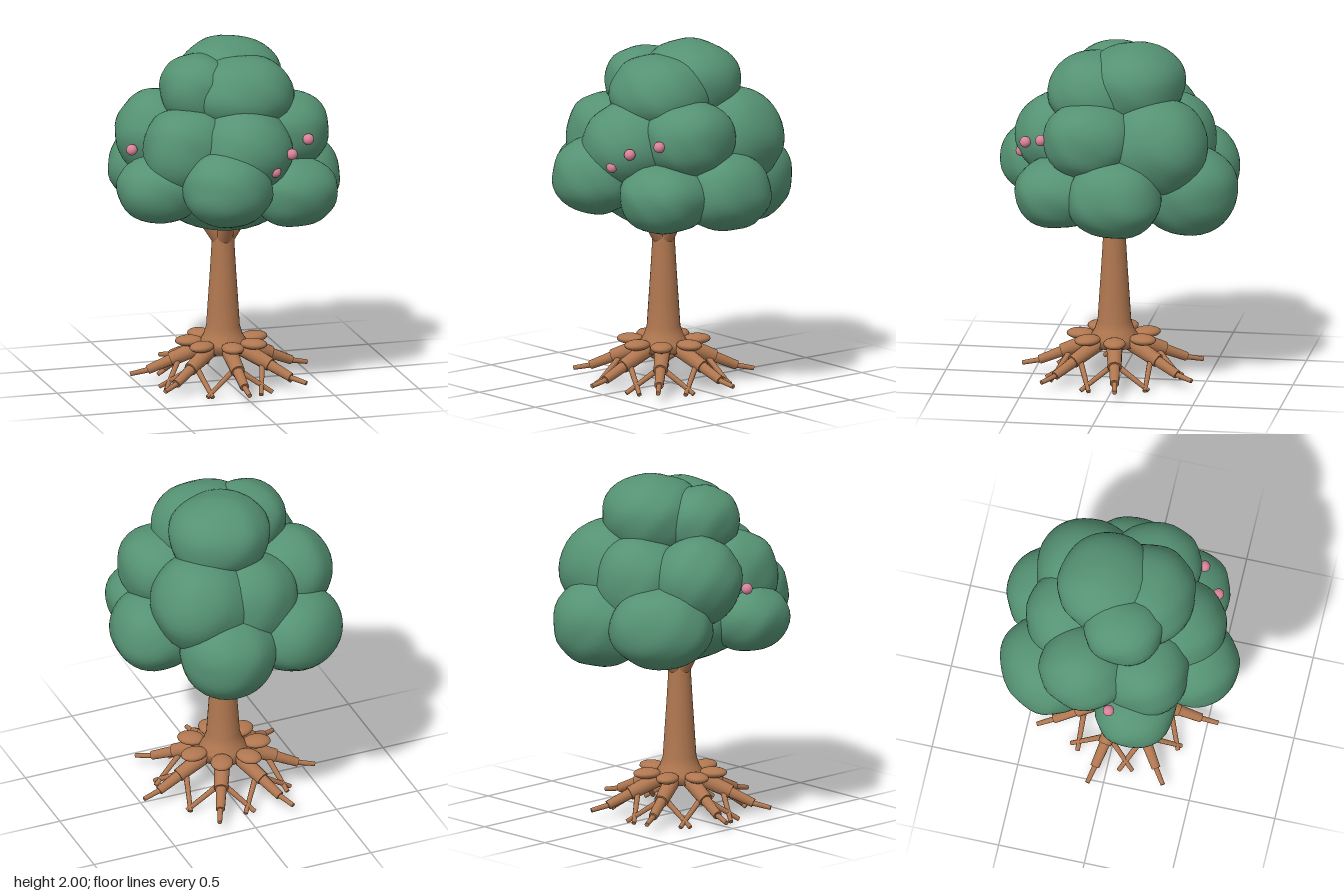
import * as THREE from 'three';
import { mergeVertices } from 'three/addons/utils/BufferGeometryUtils.js';

const leafGreen = new THREE.MeshStandardMaterial({ name: 'leafGreen', color: 0x559273 });
const barkBrown = new THREE.MeshStandardMaterial({ name: 'barkBrown', color: 0xb07750 });
const berryPink = new THREE.MeshStandardMaterial({ name: 'berryPink', color: 0xd9829a });

const UP = new THREE.Vector3(0, 1, 0);

function add(parent, name, geometry, material) {
  const mesh = new THREE.Mesh(geometry, material);
  mesh.name = name;
  parent.add(mesh);
  return mesh;
}

// Tapered round limb between two points
function limb(parent, name, a, b, r0, r1, sides = 12) {
  const dir = b.clone().sub(a);
  const mesh = add(parent, name, new THREE.CylinderGeometry(r1, r0, dir.length(), sides), barkBrown);
  mesh.position.copy(a).add(b).multiplyScalar(0.5);
  mesh.quaternion.setFromUnitVectors(UP, dir.normalize());
  return mesh;
}

// Slightly boxy, gently lumpy ellipsoid with smooth normals
function clumpGeometry(rx, ry, rz, seed) {
  let geo = new THREE.IcosahedronGeometry(1, 6);
  geo.deleteAttribute('normal');
  geo.deleteAttribute('uv');
  geo = mergeVertices(geo, 1e-4);
  const p = geo.attributes.position;
  const v = new THREE.Vector3();
  const power = 2.15;
  for (let i = 0; i < p.count; i++) {
    v.fromBufferAttribute(p, i);
    const norm = (Math.abs(v.x) ** power + Math.abs(v.y) ** power + Math.abs(v.z) ** power) ** (1 / power);
    const bump = Math.sin(v.x * 5.1 + seed * 1.7) + Math.sin(v.y * 5.7 + seed * 2.9)
      + Math.sin(v.z * 5.4 + seed * 4.3) + Math.sin((v.x + v.y - v.z) * 6 + seed);
    v.multiplyScalar((1 + 0.011 * bump) / norm);
    p.setXYZ(i, v.x * rx, v.y * ry, v.z * rz);
  }
  geo.computeVertexNormals();
  return geo;
}

// Leaf clumps: centre x, y, z, radii x, y, z, then an optional turn about y
const CLUMPS = [
  // core
  [-0.02, 1.22, 0.0, 0.44, 0.31, 0.41],
  // crown
  [0.055, 1.77, -0.1, 0.29, 0.23, 0.285],
  [0.06, 1.72, 0.12, 0.295, 0.22, 0.285],
  [-0.18, 1.75, 0.045, 0.21, 0.2, 0.23],
  // middle ring
  [0.02, 1.44, 0.3, 0.275, 0.25, 0.29],
  [0.32, 1.5, 0.125, 0.24, 0.22, 0.265],
  [0.23, 1.45, -0.26, 0.29, 0.28, 0.285],
  [-0.05, 1.42, -0.29, 0.275, 0.27, 0.26],
  [-0.355, 1.46, -0.14, 0.25, 0.25, 0.255],
  [-0.285, 1.43, 0.2, 0.255, 0.25, 0.25],
  // lower ring
  [-0.44, 1.215, 0.17, 0.24, 0.195, 0.23],
  [-0.12, 1.26, 0.45, 0.255, 0.22, 0.25],
  [0.31, 1.18, 0.3, 0.25, 0.2, 0.255],
  [0.43, 1.19, -0.04, 0.25, 0.225, 0.27],
  [0.14, 1.18, -0.42, 0.275, 0.255, 0.28],
  [-0.305, 1.21, -0.38, 0.295, 0.235, 0.245, 0.7],
];

const BERRIES = [
  [-0.57, 1.42, 0.045], [0.375, 1.5, 0.395], [0.245, 1.45, 0.505], [0.135, 1.365, 0.545],
];

export function createModel() {
  const tree = new THREE.Group();
  tree.name = 'tree';

  const foliage = new THREE.Group();
  foliage.name = 'foliage';
  tree.add(foliage);
  CLUMPS.forEach(([x, y, z, rx, ry, rz, turn = 0], i) => {
    const clump = add(foliage, 'leafClump', clumpGeometry(rx, ry, rz, i + 1), leafGreen);
    clump.position.set(x, y, z);
    clump.rotation.y = turn;
  });

  const berries = new THREE.Group();
  berries.name = 'berries';
  tree.add(berries);
  for (const [x, y, z] of BERRIES) {
    add(berries, 'berry', new THREE.SphereGeometry(0.032, 20, 14), berryPink).position.set(x, y, z);
  }

  // Trunk, branches and roots share one slightly offset axis
  const wood = new THREE.Group();
  wood.name = 'wood';
  wood.position.set(-0.024, 0, 0.033);
  tree.add(wood);

  const profile = [[0, 0.2], [0.15, 0.2], [0.135, 0.25], [0.112, 0.29], [0.096, 0.34], [0.087, 0.48],
    [0.075, 0.66], [0.065, 0.83], [0.062, 1.0], [0, 1.0]];
  add(wood, 'trunk', new THREE.LatheGeometry(profile.map(([r, y]) => new THREE.Vector2(r, y)), 28), barkBrown);

  // Angle 0 points to the front
  const polar = (angle, r, y) => new THREE.Vector3(Math.sin(angle) * r, y, Math.cos(angle) * r);

  for (let i = 0; i < 4; i++) {
    const a = i * Math.PI / 2;
    limb(wood, 'branch', polar(a, 0.0, 0.83), polar(a, 0.17, 1.08), 0.05, 0.042);
  }

  // Seven roots, slightly unevenly spread (degrees from the front)
  for (const degrees of [0, 47, 99, 155, 206, 257, 305]) {
    const a = THREE.MathUtils.degToRad(degrees);
    const root = new THREE.Group();
    root.name = 'root';
    wood.add(root);

    // Flattened knob over the root's base
    const knob = add(root, 'rootKnob', new THREE.SphereGeometry(1, 20, 12), barkBrown);
    knob.scale.set(0.064, 0.03, 0.08);
    knob.position.copy(polar(a, 0.195, 0.252));
    knob.rotation.y = a;

    // Three stepped segments running outward and down
    limb(root, 'rootBase', polar(a, 0.08, 0.235), polar(a, 0.3, 0.142), 0.048, 0.04);
    limb(root, 'rootMiddle', polar(a, 0.28, 0.148), polar(a, 0.43, 0.083), 0.032, 0.026);
    limb(root, 'rootTip', polar(a, 0.41, 0.086), polar(a, 0.53, 0.06), 0.016, 0.013);

    // Side rootlets that cross those of the neighbouring roots
    for (const s of [-1, 1]) {
      limb(root, 'rootlet', polar(a, 0.25, 0.15), polar(a + s * 0.52, 0.39, 0.016), 0.017, 0.013, 8);
    }
  }

  return tree;
}
